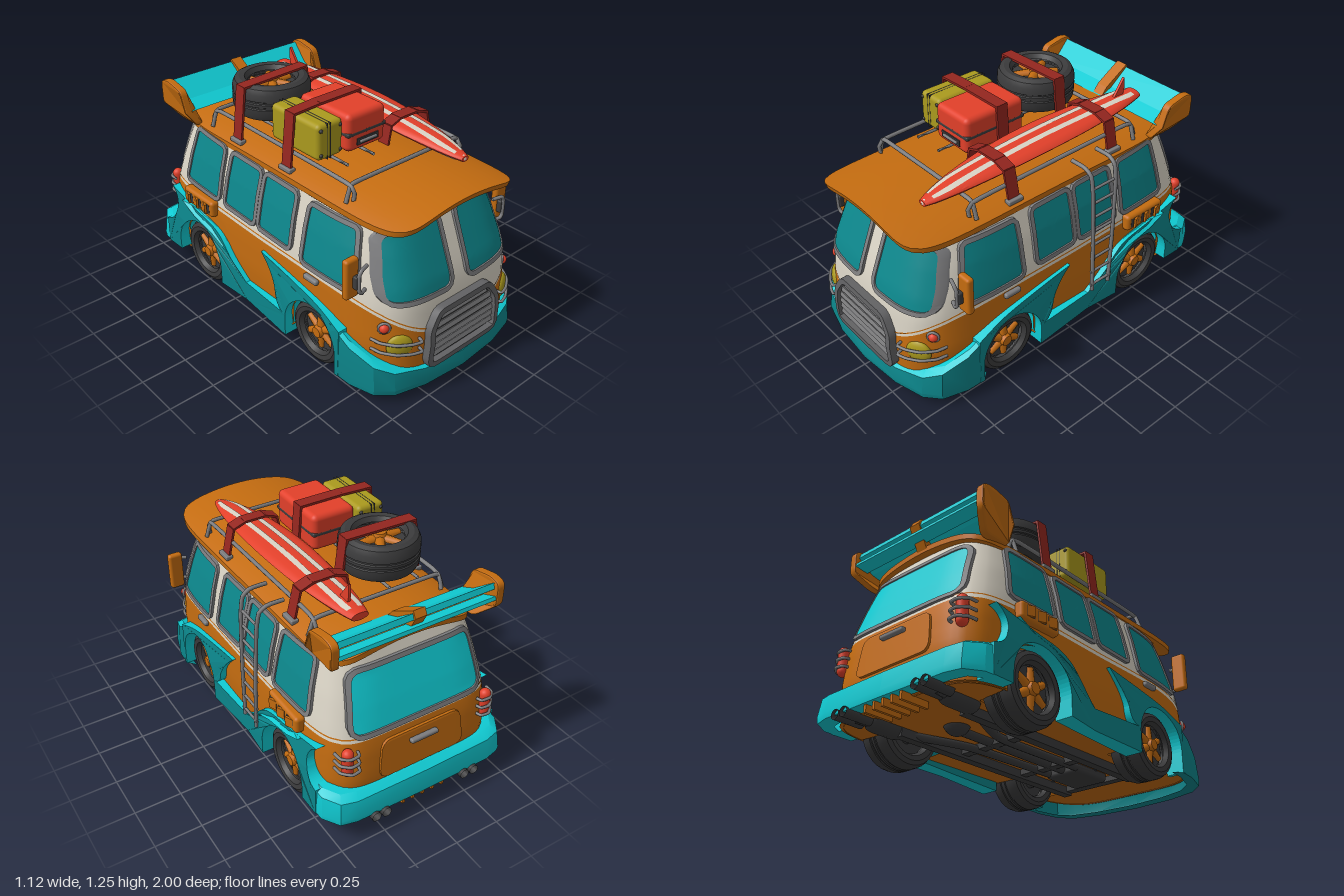
import * as THREE from 'three';
import { toCreasedNormals } from 'three/addons/utils/BufferGeometryUtils.js';
import { RoundedBoxGeometry } from 'three/addons/geometries/RoundedBoxGeometry.js';

const M = {};
for (const [name, color] of Object.entries({ teal: 0x10ccd4, deepTeal: 0x0c868b, orange: 0xc46c10, cream: 0xd8d2c4, grey: 0x7c7c7e,
  darkGrey: 0x626264, dark: 0x3b3b3c, red: 0xe2402a, strapRed: 0x94261f, yellow: 0xab9a1e })) {
  M[name] = new THREE.MeshStandardMaterial({ color, side: THREE.DoubleSide });
  M[name].name = name;
}
const V = (x, y, z) => new THREE.Vector3(x, y, z);
function add(parent, name, geo, mat, x = 0, y = 0, z = 0) {
  const m = new THREE.Mesh(geo, mat);
  m.name = name; m.position.set(x, y, z); parent.add(m);
  return m;
}
const box = (w, h, d, r) => r ? new RoundedBoxGeometry(w, h, d, 3, r) : new THREE.BoxGeometry(w, h, d);
const tube = (pts, r) => new THREE.TubeGeometry(new THREE.CatmullRomCurve3(pts.map(p => V(...p)), false, 'catmullrom', 0.25), pts.length * 6, r, 8);
// surface through rows of points
function grid(rows, closed = false, crease = 0.6) {
  const n = rows[0].length, idx = [];
  for (let i = 0; i < rows.length - 1; i++) for (let j = 0; j < (closed ? n : n - 1); j++) {
    const a = i * n + j, b = i * n + (j + 1) % n;
    idx.push(a, b, b + n, a, b + n, a + n);
  }
  const g = new THREE.BufferGeometry();
  g.setAttribute('position', new THREE.Float32BufferAttribute(rows.flat(2), 3));
  g.setIndex(idx);
  return toCreasedNormals(g, crease);
}
// polygon with rounded corners
function roundShape(pts, r) {
  const s = new THREE.Shape(), n = pts.length, P = pts.map(p => new THREE.Vector2(...p));
  P.forEach((c, i) => {
    const toward = q => { const d = q.clone().sub(c); return c.clone().add(d.setLength(Math.min(r, d.length() * 0.45))); };
    const a = toward(P[(i + n - 1) % n]), b = toward(P[(i + 1) % n]);
    i ? s.lineTo(a.x, a.y) : s.moveTo(a.x, a.y);
    s.quadraticCurveTo(c.x, c.y, b.x, b.y);
  });
  s.closePath();
  return s;
}
// extrude a (z, y) shape sideways, ending at x = outer
const sideExtrude = (shape, outer, depth, bevel = 0) => new THREE.ExtrudeGeometry(shape, { depth: depth - 2 * bevel, curveSegments: 16,
  bevelEnabled: bevel > 0, bevelThickness: bevel, bevelSize: bevel, bevelOffset: -bevel, bevelSegments: 2 }).rotateY(-Math.PI / 2).translate(outer - bevel, 0, 0);

// body form: half width, front and rear reach by height, plan a superellipse
const HX = [[.1, .49], [.3, .505], [.5, .5], [.6, .485], [.75, .455], [.97, .395]];
const ZF = [[.1, .95], [.3, .955], [.5, .93], [.6, .905], [.75, .845], [.97, .755]];
const ZB = [[.1, .9], [.3, .93], [.5, .91], [.7, .85], [.97, .76]];
function at(t, y) {
  const i = Math.max(1, Math.min(t.length - 1, t.findIndex(p => p[0] >= y)));
  const [a, b] = [t[i - 1], t[i]];
  return a[1] + (b[1] - a[1]) * (y - a[0]) / (b[0] - a[0]);
}
const se = (t, n) => Math.max(0, 1 - Math.abs(t) ** n) ** (1 / n);
const front = (x, y, d) => [x, y, at(ZF, y) * se(x / at(HX, y), 5) + d];
const rear = (x, y, d) => [x, y, -at(ZB, y) * se(x / at(HX, y), 7) - d];
const side = (z, y, d) => [at(HX, y) * (z > 0 ? se(z / at(ZF, y), 5) : se(z / at(ZB, y), 7)) + d, y, z];
function planRing(nf, nr) {
  const cf = 0.5 ** (1 / nf), cr = 0.5 ** (1 / nr), out = [], N = 80, K = 28;
  const sideC = i => { const cz = -cr + (cr + cf) * i / N; return [se(cz, cz > 0 ? nf : nr), cz]; };
  for (let i = 0; i < N; i++) out.push(sideC(i));
  for (let i = 0; i < K; i++) { const c = cf - 2 * cf * i / K; out.push([c, se(c, nf)]); }
  for (let i = N; i > 0; i--) { const [a, b] = sideC(i); out.push([-a, b]); }
  for (let i = 0; i < K; i++) { const c = -cr + 2 * cr * i / K; out.push([c, -se(c, nr)]); }
  return out;
}
// panel and raised frame laid on a body surface
const outlineOf = (pts, r) => roundShape(pts, r).getSpacedPoints(80).slice(0, 80).map(p => [p.x, p.y]);
const centre = o => [0, 1].map(k => o.reduce((s, p) => s + p[k], 0) / o.length);
function grow(o, d) {
  const n = o.length;
  return o.map((p, i) => {
    const a = o[(i + n - 1) % n], b = o[(i + 1) % n], tx = b[0] - a[0], ty = b[1] - a[1], l = Math.hypot(tx, ty) || 1;
    return [p[0] + ty / l * d, p[1] - tx / l * d];
  });
}
function panel(map, o, d) {
  const c = centre(o);
  return grid([1, .8, .6, .4, .2, 0].map(s => o.map(p => map(c[0] + (p[0] - c[0]) * s, c[1] + (p[1] - c[1]) * s, d))), true);
}
const frame = (map, o, w, h) => grid([[0, 0], [0, h], [w, h], [w, -.005]].map(([g, d]) => grow(o, g).map(p => map(p[0], p[1], d))), true);
function windowOn(parent, name, map, corners, r, glass = M.deepTeal) {   // corners run anticlockwise
  const o = outlineOf(corners, r);
  add(parent, name + 'Glass', panel(map, o, .007), glass);
  add(parent, name + 'Frame', frame(map, o, .024, .015), M.grey);
}
function makeWheel(r, w) {
  const g = new THREE.Group(); g.name = 'wheel';
  const prof = [[.6, -.35], [.68, -.48], [.82, -.5], [.93, -.44], [.99, -.3], [1, -.12], [.97, -.1], [.97, -.06], [1, -.04], [1, .04],
    [.97, .06], [.97, .1], [1, .12], [.99, .3], [.93, .44], [.82, .5], [.68, .48], [.6, .35]].map(p => new THREE.Vector2(p[0] * r, p[1] * w));
  add(g, 'tyre', toCreasedNormals(new THREE.LatheGeometry(prof, 32).rotateZ(-Math.PI / 2), .5), M.dark);
  add(g, 'rimBack', new THREE.CylinderGeometry(r * .62, r * .62, w * .5, 24).rotateZ(Math.PI / 2), M.dark);
  add(g, 'hub', new THREE.CylinderGeometry(r * .16, r * .22, .04, 16).rotateZ(-Math.PI / 2), M.orange, w * .34);
  for (let i = 0; i < 6; i++) {
    const s = new THREE.CylinderGeometry(r * .1, r * .14, r * .44, 8).translate(0, r * .35, 0).rotateX(i * Math.PI / 3);
    add(g, 'spoke', s, M.orange, w * .24);
  }
  return g;
}
// flat belt through (x, y) points
function strap(parent, z, pts) {
  for (let i = 0; i + 1 < pts.length; i++) {
    const [a, b] = [pts[i], pts[i + 1]], dx = b[0] - a[0], dy = b[1] - a[1];
    add(parent, 'strap', box(Math.hypot(dx, dy) + .012, .012, .068), M.strapRed, (a[0] + b[0]) / 2, (a[1] + b[1]) / 2, z).rotation.z = Math.atan2(dy, dx);
  }
}

export function createModel() {
  const van = new THREE.Group(); van.name = 'camperVan';
  const half = new THREE.Group(); half.name = 'leftSide';

  // two-tone body shell with wheel openings
  const ring = planRing(5, 7);
  const yS = p => p[1] > 0 ? .3 + .22 * p[0] ** 2 : .52 + .02 * Math.min(1, -p[1]);
  const yTop = p => .91 + .055 * (1 - p[0] ** 2);
  const yBot = p => Math.abs(p[0]) < .8 ? .12 : [[.445, .18, .19], [-.505, .19, .2]].reduce((y, [zc, c, R]) => {
    const d = Math.abs(p[1] * .94 - zc);
    return d < R ? c + Math.sqrt(R * R - d * d) : y;
  }, .12);
  const pos = (p, y, k = 1) => [p[0] * at(HX, y) * k, y, p[1] * at(p[1] > 0 ? ZF : ZB, y) * k];
  const loft = (lo, hi, n, k) => grid([...Array(n + 1).keys()].map(i => ring.map(p => pos(p, lo(p) + (hi(p) - lo(p)) * i / n, k))), true);
  add(van, 'lowerBody', loft(yBot, yS, 8), M.orange);
  add(van, 'upperBody', loft(yS, yTop, 12), M.cream);
  add(van, 'pinstripe', loft(p => yS(p) + .018, p => yS(p) + .025, 1, 1.004), M.orange);
  add(van, 'wheelWells', box(.62, .3, 1.72), M.orange, 0, .3, -.01);
  const pan = ring.map(p => { const [x, , z] = pos(p, .12, 1.02); return [yBot(p) > .12 ? Math.sign(x) * .31 : x, .125, z]; });
  add(van, 'floorPan', grid([pan, pan.map(p => [0, .125, p[2]])], true), M.orange);

  // crowned roof with undercut front visor
  const rr = planRing(8, 8);
  const roofRow = ([sx, d, sz = sx]) => rr.map(p => {
    const x = p[0] * .42 * sx, z = p[1] * (p[1] > 0 ? .93 * sz : .79 * sx);
    return [x, 1.005 - .43 * x * x - .008 * (z / .93) ** 2 - d, z];
  });
  add(van, 'roof', grid([[0, 0], [.35, 0], [.7, 0], [.9, 0], [1, .005], [1, .035, .99], [.97, .052, .88], [.7, .048], [.35, .048], [0, .048]].map(roofRow), true), M.orange);

  // windows
  windowOn(half, 'windscreen', front, [[.066, .54], [.41, .552], [.4, .66], [.358, .845], [.066, .872]], .04);
  windowOn(half, 'frontDoorWindow', side, [[.348, .572], [.695, .562], [.635, .85], [.348, .858]], .02);
  windowOn(half, 'middleWindow', side, [[0, .6], [.238, .592], [.23, .868], [0, .873]], .02);
  windowOn(half, 'middleWindow', side, [[-.292, .605], [-.05, .598], [-.05, .873], [-.282, .878]], .02);
  windowOn(half, 'rearSideWindow', side, [[-.655, .612], [-.365, .605], [-.365, .88], [-.615, .892]], .02);
  windowOn(van, 'rearWindow', rear, [[-.37, .58], [.37, .58], [.33, .87], [-.33, .87]], .05, M.teal);

  // grille
  const gr = outlineOf([[-.225, .18], [.225, .18], [.215, .36], [.165, .435], [-.165, .435], [-.215, .36]], .02);
  add(van, 'grilleBack', panel(front, gr, .008), M.dark);
  add(van, 'grilleFrame', frame(front, gr, .03, .04), M.darkGrey);
  for (let i = 0; i < 6; i++) {
    const y = .21 + i * .039;
    add(van, 'grilleSlat', box([.445, .44, .435, .43, .41, .35][i], .024, .02), M.grey, 0, y, at(ZF, y) + .008).rotation.x = -.35;
  }

  // lamps and lamp guards
  const lamp = add(half, 'headlamp', new THREE.SphereGeometry(.066, 24, 12), M.yellow, .368, .31, front(.368, .31, -.012)[2]);
  lamp.scale.z = .4; lamp.rotation.y = .5;
  for (const y of [.28, .335]) add(half, 'lampGuard', tube([.28, .29, .34, .4, .445, .455].map((x, i) => front(x, y, i % 5 ? .032 : 0)), .008), M.grey);
  const [ix, iy, iz] = front(.425, .415, .01);
  add(half, 'indicator', new THREE.SphereGeometry(.025, 16, 10), M.red, ix, iy, iz);
  add(half, 'indicatorRing', new THREE.TorusGeometry(.027, .007, 8, 24), M.grey, ix, iy, iz).rotation.y = .7;
  add(half, 'tailLamp', new THREE.CapsuleGeometry(.03, .1, 6, 16), M.red, .41, .455, rear(.41, .455, .018)[2]);
  for (const y of [.41, .455, .5]) add(half, 'tailLampGuard', tube([rear(.355, y, 0), rear(.365, y, .03), rear(.41, y, .056), [.45, y, -.9], [.455, y, -.85]], .008), M.grey);

  // tailgate
  const tg = outlineOf([[-.24, .31], [.24, .31], [.22, .5], [-.22, .5]], .04);
  add(van, 'tailgate', panel(rear, tg, .012), M.orange);
  add(van, 'tailgateEdge', frame(rear, tg, .01, .012), M.orange);
  add(van, 'tailgateHandle', box(.16, .025, .03, .01), M.grey, 0, .46, -.94);

  // bumpers swept round the plan, with a bright upper rim
  function bumper(name, faceMat, pts) {
    const all = [...pts.slice(1).reverse().map(([x, ...r]) => [-x, ...r]), ...pts];
    const sweep = section => grid(all.map(([x, z, t, b]) => section(t, b).map(([k, y]) => [x * k, y, z * k])), false, .45);
    add(van, name + 'Rim', sweep(t => [[.9, t + .005], [.945, t], [.985, t - .025]]), M.teal);
    add(van, name + 'Face', sweep((t, b) => [[.985, t - .025], [1, b + .03], [.995, b], [.92, b]]), faceMat);
  }
  bumper('frontBumper', M.deepTeal, [[0, 1, .16, .05], [.25, .98, .17, .05], [.42, .935, .2, .05], [.5, .87, .24, .055], [.54, .74, .3, .06], [.545, .64, .355, .065]]);
  bumper('rearBumper', M.teal, [[0, -.99, .28, .13], [.4, -.985, .28, .13], [.485, -.965, .285, .13], [.54, -.88, .29, .13], [.545, -.79, .3, .13]]);

  // sweeping side skirt with wheel arches, bright edges and a slimmer waist
  const sk = new THREE.Shape(), spline = pts => sk.splineThru(pts.map(p => new THREE.Vector2(...p)));
  sk.moveTo(.66, .065); sk.lineTo(.66, .335);
  spline([[.5, .395], [.3, .435], [.04, .475]]);
  sk.quadraticCurveTo(.15, .38, .17, .3); sk.quadraticCurveTo(.18, .22, .24, .21);
  sk.lineTo(-.1, .205);
  spline([[-.2, .29], [-.29, .38], [-.38, .425], [-.55, .455], [-.79, .505]]);
  sk.quadraticCurveTo(-.7, .45, -.74, .36); sk.quadraticCurveTo(-.76, .3, -.83, .285);
  sk.lineTo(-.83, .13); sk.lineTo(-.705, .13);
  sk.absarc(-.505, .19, .2, Math.PI, 0, true); sk.lineTo(-.305, .1); sk.lineTo(-.1, .09); sk.lineTo(.255, .075);
  sk.absarc(.445, .18, .19, Math.PI, 0, true); sk.lineTo(.635, .065); sk.closePath();
  const skirt = sideExtrude(sk, .545, .1), sp = skirt.attributes.position;
  for (let i = 0; i < sp.count; i++) if (sp.getX(i) > .5) {
    const flare = Math.min(1, Math.max(0, (Math.abs(sp.getZ(i) + .03) - .08) / .18));
    sp.setX(i, .525 + .02 * flare - (.03 + .12 * flare) * Math.max(0, sp.getY(i) - .3));
  }
  skirt.computeVertexNormals();
  add(half, 'sideSkirt', skirt, [M.deepTeal, M.teal]);
  const ledge = [[-.24, .325], [-.29, .38], [-.38, .425], [-.46, .443], [-.55, .455], [-.66, .475]];
  add(half, 'fenderLedge', grid([ledge.map(([z, y]) => [.505, y + .002, z]), ledge.map(([z, y], i) => [.54, y - [0, .03, .038, .038, .03, 0][i], z])]), M.teal);

  // wheels
  for (const [z, r] of [[.445, .18], [-.505, .188]]) { const w = makeWheel(r, .19); w.position.set(.413, r, z); half.add(w); }

  // side scoop, handle, mirror
  add(half, 'scoop', box(.06, .095, .27, .02), M.orange, .505, .53, -.505);
  for (let i = 0; i < 3; i++) {
    add(half, 'scoopSlot', box(.008, .055, .06), M.dark, .532, .53, -.425 - i * .078);
    add(half, 'scoopLouvre', box(.012, .055, .055), M.orange, .537, .53, -.435 - i * .078).rotation.y = .4;
  }
  add(half, 'doorHandle', box(.03, .03, .1, .012), M.grey, .505, .5, .42);
  add(half, 'mirror', box(.08, .215, .04, .015), M.orange, .52, .675, .715);
  add(half, 'mirrorBracket', box(.035, .07, .03, .008), M.dark, .505, .66, .745);
  add(half, 'mirrorArm', tube([[.44, .72, .74], [.49, .725, .76], [.505, .7, .76], [.505, .62, .76], [.49, .6, .76], [.45, .59, .74]], .01), M.grey);

  // rear spoiler
  const plate = roundShape([[-.86, 1.0], [-.77, .915], [-.61, .915], [-.63, .99], [-.675, 1.115], [-.8, 1.14], [-.86, 1.125]], .03);
  const pg = sideExtrude(plate, .482, .045, .008), pp = pg.attributes.position;
  for (let i = 0; i < pp.count; i++) pp.setX(i, pp.getX(i) - Math.max(0, 1.0 - pp.getY(i)) * .7);
  pg.computeVertexNormals();
  add(half, 'spoilerEndPlate', pg, M.orange);
  const profile = pts => new THREE.Shape(pts.map(p => new THREE.Vector2(...p)));
  add(van, 'spoilerWing', sideExtrude(profile([[-.64, 1.0], [-.72, 1.035], [-.83, 1.12], [-.84, 1.09], [-.76, 1.015], [-.68, .985]]), .445, .89), M.teal);
  add(van, 'spoilerFlap', box(.88, .02, .07), M.teal, 0, 1.035, -.82).rotation.x = .3;
  add(van, 'spoilerStrut', sideExtrude(profile([[-.63, .98], [-.68, 1.045], [-.83, 1.135], [-.85, 1.1], [-.78, .96]]), .033, .066), M.orange);

  // roof rack
  add(half, 'rackRail', tube([[.36, .95, .56], [.36, 1.02, .54], [.36, 1.03, 0], [.36, 1.03, -.5], [.36, .95, -.55]], .011), M.grey);
  for (const z of [.54, -.52]) add(van, 'rackBar', tube([[-.39, .94, z], [-.36, 1.02, z], [-.3, 1.03, z], [.3, 1.03, z], [.36, 1.02, z], [.39, .94, z]], .011), M.grey);
  for (const x of [-.25, -.08]) add(van, 'rackSlat', tube([[x, 1.03, .4], [x, 1.03, -.5]], .008), M.grey);

  // ladder on the left side
  for (const s of [-1, 1]) add(van, 'ladderRail', tube([[.37, .985, -.175 + s * .085], [.46, .985, -.175 + s * .085], [.505, .955, -.175 + s * .083],
    [.522, .85, -.175 + s * .08], [.535, .54, -.175 + s * .07], [.54, .23, -.175 + s * .06]], .011), M.grey);
  for (let i = 0; i < 8; i++) add(van, 'ladderRung', new THREE.CylinderGeometry(.008, .008, .15, 8).rotateX(Math.PI / 2), M.grey, .54 - i * .0035, .27 + i * .087, -.175);

  // luggage
  add(van, 'redSuitcase', box(.25, .2, .37, .03), M.red, -.06, 1.135, .145);
  add(van, 'redSuitcaseBand', box(.253, .022, .373, .008), M.dark, -.06, 1.13, .145);
  add(van, 'suitcasePlate', box(.14, .035, .012), M.dark, -.06, 1.085, .33);
  add(van, 'suitcaseHandle', box(.11, .014, .02, .005), M.grey, -.06, 1.085, .337);
  add(van, 'yellowSuitcase', box(.16, .19, .36, .025), M.yellow, -.27, 1.13, .12);
  for (const x of [-.29, -.272]) add(van, 'yellowSuitcaseBand', box(.005, .192, .362, .002), M.dark, x, 1.13, .12);
  for (const x of [-.33, -.21]) for (const y of [1.065, 1.195]) for (const z of [-.058, .298]) add(van, 'suitcaseStud', new THREE.SphereGeometry(.01, 10, 8), M.dark, x, y, z);
  const spare = makeWheel(.207, .19); spare.name = 'spareWheel';
  spare.rotation.z = Math.PI / 2; spare.position.set(-.145, 1.145, -.31); van.add(spare);

  // surfboard, fin up
  const ts = [...Array(33).keys()].map(i => i / 32);
  const bz = t => .72 - 1.41 * t, bw = t => .125 * Math.max(.04, Math.sin(Math.PI * Math.min(1, .02 + .92 * t)) ** .58);
  const by = t => 1.09 - .065 * Math.max(0, 1 - t * 1.6) ** 2, bh = t => .028 * Math.min(1, .25 + bw(t) / .1);
  const loop = t => [...Array(16).keys()].map(k => { const a = k * Math.PI / 8; return [.22 + bw(t) * Math.cos(a), by(t) + bh(t) * Math.sin(a), bz(t)]; });
  const tip = t => Array(16).fill([.22, by(t), bz(t)]);
  add(van, 'surfboard', grid([tip(0), ...ts.map(loop), tip(1)], true), M.red);
  for (const c of [-.036, .036]) for (const s of [-1, 1]) add(van, 'boardStripe', grid(ts.slice(1, 32).map(t => [-1, 0, 1].map(k => {
    const x = (c + k * .015) * Math.min(1, bw(t) / .07);
    return [.22 + x, by(t) + s * (bh(t) * Math.sqrt(Math.max(0, 1 - (x / bw(t)) ** 2)) + .003), bz(t)];
  }))), M.cream);
  add(van, 'boardNose', new THREE.SphereGeometry(.018, 12, 8), M.cream, .22, by(0), .705);
  const fin = roundShape([[-.52, 1.1], [-.6, 1.215], [-.605, 1.16], [-.595, 1.1]], .01);
  add(van, 'boardFin', sideExtrude(fin, .227, .014), M.red);

  // straps and their feet
  strap(van, .11, [[-.39, .95], [-.36, 1.235], [-.19, 1.242], [.065, 1.242], [.085, 1.0]]);
  strap(van, -.29, [[-.39, .95], [-.355, 1.235], [.05, 1.245], [.08, 1.0]]);
  for (const z of [.31, -.36]) {
    strap(van, z, [[.075, 1.0], [.095, 1.1], [.16, 1.124], [.28, 1.124], [.35, 1.1], [.385, .95]]);
    add(van, 'strapFoot', box(.04, .025, .09, .006), M.grey, .39, .945, z);
  }
  for (const z of [.11, -.29]) add(van, 'strapFoot', box(.04, .025, .09, .006), M.grey, -.39, .945, z);

  // chassis, axles, exhaust
  add(half, 'chassisRail', box(.05, .06, 1.3), M.dark, .22, .11, -.03);
  for (const z of [.6, .2, -.25]) add(van, 'crossMember', box(.48, .04, .05), M.dark, 0, .115, z);
  for (const [z, y] of [[.445, .18], [-.505, .188]]) add(van, 'axle', new THREE.CylinderGeometry(.03, .03, .8, 12).rotateZ(Math.PI / 2), M.dark, 0, y - .03, z);
  add(van, 'gearbox', box(.22, .07, .26, .02), M.dark, 0, .115, .42);
  add(van, 'driveShaft', new THREE.CylinderGeometry(.025, .025, .8, 12).rotateX(Math.PI / 2), M.dark, 0, .115, -.1);
  add(van, 'differential', new THREE.SphereGeometry(.07, 16, 12), M.dark, 0, .15, -.505);
  add(half, 'exhaustPipe', tube([[.09, .11, .4], [.1, .1, -.3], [.22, .11, -.6], [.27, .12, -.9]], .022), M.dark);
  add(half, 'muffler', new THREE.CapsuleGeometry(.055, .12, 6, 16).rotateX(Math.PI / 2), M.dark, .25, .13, -.74);
  for (const x of [.24, .3]) add(half, 'tailPipe', new THREE.CylinderGeometry(.026, .026, .16, 16, 1, true).rotateX(Math.PI / 2), M.dark, x, .12, -.92);
  for (let i = -2; i <= 2; i++) add(van, 'diffuserFin', box(.016, .06, .16), M.orange, i * .06, .12, -.89);

  const other = half.clone(); other.name = 'rightSide'; other.scale.x = -1;
  van.add(half, other);
  return van;
}
